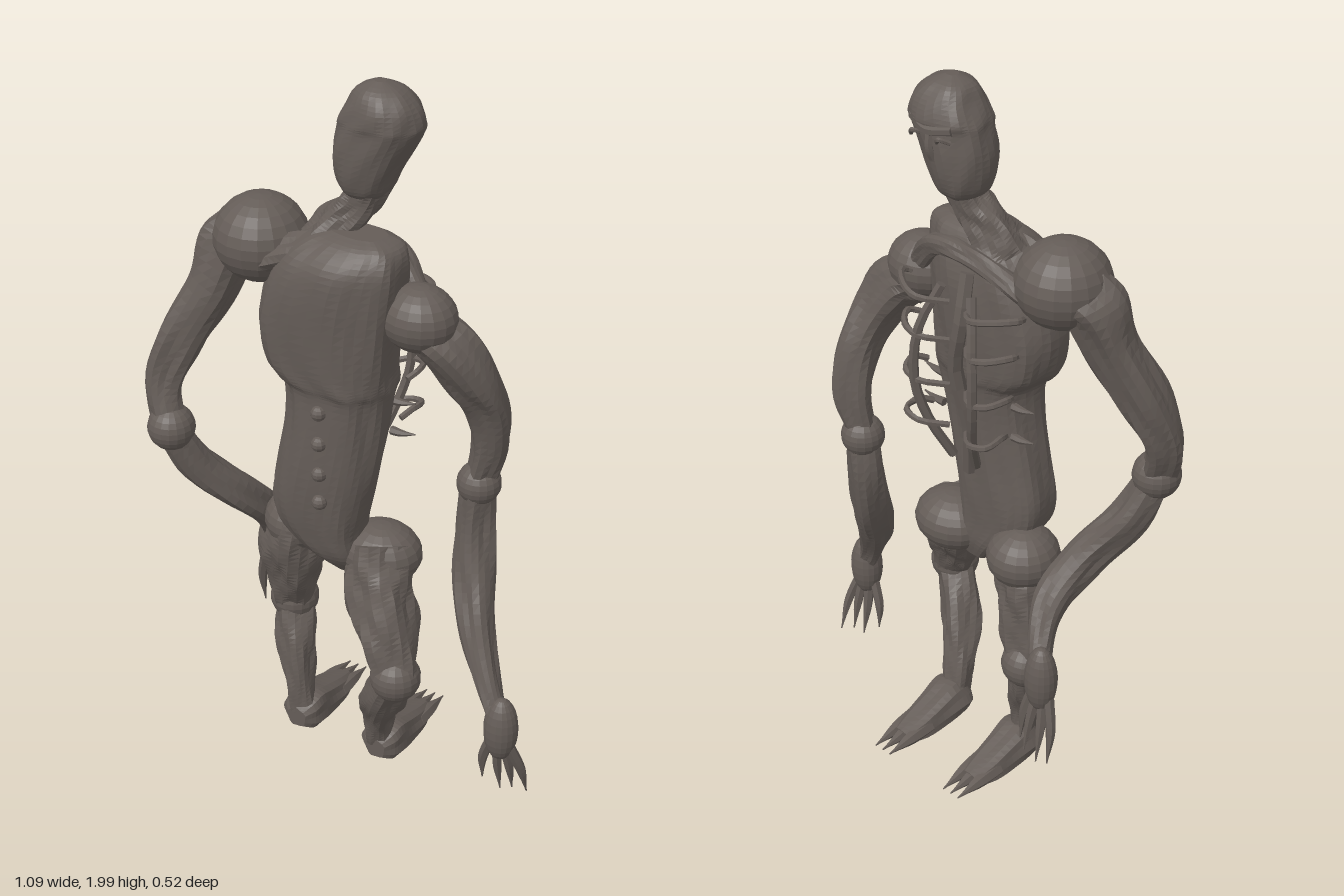
import * as THREE from 'three';

const skin = new THREE.MeshStandardMaterial({ color: 0x645c57, flatShading: true });
skin.name = 'dark grey flesh';
const V = (p) => new THREE.Vector3(p[0], p[1], p[2]);

// Closed skin over a list of rings of points
function skinRings(rings) {
  const n = rings[0].length, pos = [], idx = [];
  rings.forEach((r) => r.forEach((p) => pos.push(p.x, p.y, p.z)));
  for (let i = 0; i < rings.length - 1; i++) {
    for (let j = 0; j < n; j++) {
      const a = i * n + j, b = i * n + (j + 1) % n;
      idx.push(a, b, b + n, a, b + n, a + n);
    }
  }
  [rings[0], rings[rings.length - 1]].forEach((r, end) => {
    const c = new THREE.Vector3();
    r.forEach((p) => c.addScaledVector(p, 1 / n));
    const k = pos.length / 3, base = end ? (rings.length - 1) * n : 0;
    pos.push(c.x, c.y, c.z);
    for (let j = 0; j < n; j++) {
      const a = base + j, b = base + (j + 1) % n;
      if (end) idx.push(a, b, k); else idx.push(b, a, k);
    }
  });
  const g = new THREE.BufferGeometry();
  g.setAttribute('position', new THREE.Float32BufferAttribute(pos, 3));
  g.setIndex(idx);
  g.computeVertexNormals();
  return g;
}

// Smooth sampling of one column of a section table
function column(rows, k) {
  const c = new THREE.SplineCurve(rows.map((s, i) => new THREE.Vector2(i, s[k])));
  return (t) => c.getPoint(t).y;
}

// Sections [level, cx, c2, rx, r2] stacked along y, or along z for feet
function loft(rows, axis, steps, sides, square, bump) {
  const f = [0, 1, 2, 3, 4].map((k) => column(rows, k));
  const rings = [];
  for (let i = 0; i <= steps; i++) {
    const t = i / steps, [l, cx, c2, rx, r2] = f.map((q) => q(t));
    const ring = [];
    for (let j = 0; j < sides; j++) {
      const a = j / sides * Math.PI * 2, m = bump(a, t);
      const pw = (v) => Math.sign(v) * Math.abs(v) ** square * m;
      if (axis === 'y') ring.push(new THREE.Vector3(cx + rx * pw(Math.sin(a)), l, c2 + r2 * pw(Math.cos(a))));
      else ring.push(new THREE.Vector3(cx + rx * pw(Math.cos(a)), c2 + r2 * pw(Math.sin(a)), l));
    }
    rings.push(ring);
  }
  return skinRings(rings);
}

// Sinewy tube through [x, y, z, radius] points with twisted muscle ridges
function sinew(pts, ridge = 0.1, steps = 26, sides = 18) {
  const curve = new THREE.CatmullRomCurve3(pts.map(V));
  const rad = column(pts, 3), fr = curve.computeFrenetFrames(steps), rings = [];
  for (let i = 0; i <= steps; i++) {
    const t = i / steps, c = curve.getPoint(t), ring = [];
    for (let j = 0; j < sides; j++) {
      const a = j / sides * Math.PI * 2;
      const m = 1 + ridge * (Math.cos(4 * a + 5 * t) + 0.6 * Math.sin(3 * a - 9 * t) + 0.3 * Math.sin(6 * a + 21 * t));
      ring.push(c.clone()
        .addScaledVector(fr.normals[i], Math.cos(a) * rad(t) * m)
        .addScaledVector(fr.binormals[i], Math.sin(a) * rad(t) * m));
    }
    rings.push(ring);
  }
  return skinRings(rings);
}

export function createModel() {
  const model = new THREE.Group();
  const add = (name, geo) => {
    const m = new THREE.Mesh(geo, skin);
    m.name = name;
    model.add(m);
    return m;
  };
  const ball = (name, p, r, seg = 18) => {
    const m = add(name, new THREE.SphereGeometry(1, seg, Math.round(seg * 0.7)));
    m.position.set(...p);
    m.scale.set(...(Array.isArray(r) ? r : [r, r, r]));
    return m;
  };
  const wire = (name, pts, r = 0.008) => add(name, sinew(pts.map((p) => [...p, p[3] ?? r]), 0, 12, 6));

  // Torso, from pelvis to collar, with a ledge under the chest
  add('torso', loft([
    [0.63, -0.01, 0.03, 0.045, 0.04], [0.69, -0.035, 0.045, 0.085, 0.075], [0.76, -0.068, 0.055, 0.118, 0.088],
    [0.84, -0.07, 0.06, 0.135, 0.095], [0.95, -0.048, 0.063, 0.138, 0.097], [1.08, -0.025, 0.06, 0.137, 0.097],
    [1.18, -0.018, 0.055, 0.142, 0.102], [1.215, -0.03, 0.055, 0.16, 0.112], [1.26, -0.047, 0.055, 0.178, 0.117],
    [1.36, -0.05, 0.055, 0.19, 0.122], [1.47, -0.03, 0.055, 0.182, 0.122], [1.55, -0.005, 0.055, 0.163, 0.108],
    [1.60, 0.02, 0.045, 0.125, 0.078], [1.62, 0.03, 0.04, 0.07, 0.045],
  ], 'y', 56, 36, 0.8, (a, t) => 1 + 0.022 * Math.cos(7 * a + 6 * t) + 0.02 * Math.sin(4 * a - 13 * t) + 0.012 * Math.sin(11 * a + 31 * t)));
  // Shoulder straps and collar bone
  add('collarStrap', sinew([[-0.22, 1.5, 0.09, 0.05], [-0.08, 1.555, 0.08, 0.045], [0.06, 1.585, 0.06, 0.035], [0.13, 1.575, 0.05, 0.022]]));
  add('collarBone', sinew([[-0.22, 1.5, -0.03, 0.03], [-0.05, 1.56, -0.05, 0.025], [0.08, 1.55, -0.04, 0.03], [0.17, 1.46, -0.01, 0.03]]));
  for (const y of [1.15, 1.06, 0.97, 0.885]) ball('vertebra', [-0.02, y, 0.156], 0.021, 10);

  // Neck and head
  add('neck', sinew([[-0.08, 1.55, 0.03, 0.07], [-0.04, 1.62, 0.015, 0.054], [0.01, 1.68, 0, 0.046], [0.04, 1.76, -0.01, 0.05]], 0.12));
  add('head', loft([
    [1.69, 0.02, -0.012, 0.02, 0.03], [1.715, 0.018, -0.012, 0.06, 0.064], [1.76, 0.02, -0.012, 0.08, 0.08],
    [1.82, 0.033, -0.012, 0.098, 0.086], [1.88, 0.055, -0.014, 0.108, 0.086], [1.905, 0.06, -0.015, 0.107, 0.088],
    [1.945, 0.066, -0.012, 0.088, 0.078], [1.98, 0.06, -0.01, 0.06, 0.054], [2.0, 0.056, -0.01, 0.015, 0.015],
  ], 'y', 30, 28, 0.9, (a, t) => 1 + 0.025 * Math.cos(5 * a + 7 * t) + 0.015 * Math.sin(8 * a - 17 * t)));
  wire('brow', [[-0.01, 1.895, -0.082], [0.055, 1.885, -0.1], [0.12, 1.9, -0.08]], 0.013);
  wire('nose', [[0.05, 1.88, -0.095], [0.045, 1.84, -0.102], [0.04, 1.81, -0.092]], 0.011);
  for (const x of [0.01, 0.095]) wire('eyeHook', [[x - 0.02, 1.865, -0.088], [x, 1.875, -0.108], [x + 0.02, 1.855, -0.092]], 0.006);

  // Shoulders
  ball('rightShoulder', [-0.26, 1.535, 0.042], [0.123, 0.115, 0.124]);
  ball('leftShoulder', [0.195, 1.425, 0.03], [0.1, 0.087, 0.09]);

  // Arms: upper arm, elbow, forearm, hand, fingers
  add('rightUpperArm', sinew([[-0.27, 1.53, 0.03, 0.07], [-0.335, 1.515, 0.05, 0.078], [-0.385, 1.38, 0.09, 0.066],
    [-0.455, 1.23, 0.14, 0.062], [-0.488, 1.11, 0.175, 0.05], [-0.455, 0.99, 0.195, 0.045]]));
  ball('rightElbow', [-0.455, 0.995, 0.195], 0.064);
  add('rightForearm', sinew([[-0.455, 0.99, 0.195, 0.045], [-0.415, 0.87, 0.145, 0.05], [-0.345, 0.76, 0.06, 0.052],
    [-0.315, 0.65, -0.04, 0.045], [-0.335, 0.56, -0.1, 0.034], [-0.36, 0.5, -0.13, 0.03]]));
  ball('rightHand', [-0.365, 0.475, -0.132], [0.046, 0.1, 0.042]);
  add('leftUpperArm', sinew([[0.18, 1.4, 0.02, 0.06], [0.255, 1.36, 0.01, 0.07], [0.312, 1.27, -0.025, 0.062],
    [0.335, 1.17, -0.075, 0.056], [0.332, 1.04, -0.105, 0.05], [0.305, 0.92, -0.1, 0.04]]));
  ball('leftElbow', [0.305, 0.917, -0.1], 0.059);
  add('leftForearm', sinew([[0.305, 0.92, -0.1, 0.045], [0.3, 0.8, -0.095, 0.05], [0.322, 0.66, -0.06, 0.052],
    [0.37, 0.53, 0.0, 0.046], [0.44, 0.4, 0.055, 0.032], [0.48, 0.33, 0.072, 0.03]]));
  ball('leftHand', [0.487, 0.305, 0.073], [0.047, 0.097, 0.045]);
  // Each finger: knuckle offset, tip x, tip y, tip z
  const fingers = (hand, tips) => tips.forEach(([dx, x, y, z]) => {
    const [hx, hy, hz] = hand;
    wire('finger', [[hx + dx, hy - 0.05, hz, 0.015], [(hx + dx + x) / 2 + dx * 0.35, (hy - 0.05 + y) / 2, (hz + z) / 2, 0.013],
      [x, y, z, 0.002]]);
  });
  fingers([-0.365, 0.475, -0.132], [[-0.028, -0.42, 0.24, -0.165], [-0.01, -0.39, 0.235, -0.175], [0.01, -0.348, 0.25, -0.175], [0.026, -0.322, 0.27, -0.16]]);
  fingers([0.487, 0.305, 0.073], [[-0.03, 0.43, 0.11, 0.06], [-0.01, 0.475, 0.075, 0.04], [0.012, 0.505, 0.085, 0.03], [0.028, 0.54, 0.075, 0.012]]);

  // Legs: hip, thigh, knee, calf
  ball('rightHip', [-0.178, 0.705, 0.005], [0.098, 0.085, 0.1]);
  ball('leftHip', [0.085, 0.695, 0.02], [0.112, 0.083, 0.1]);
  add('rightThigh', sinew([[-0.17, 0.73, 0.02, 0.075], [-0.19, 0.62, 0.015, 0.085], [-0.215, 0.51, -0.01, 0.072], [-0.23, 0.4, -0.035, 0.055]]));
  ball('rightKnee', [-0.232, 0.402, -0.038], 0.068);
  add('rightCalf', sinew([[-0.23, 0.4, -0.035, 0.05], [-0.205, 0.29, 0.0, 0.054], [-0.178, 0.18, 0.025, 0.04], [-0.165, 0.08, 0.03, 0.036]]));
  add('leftThigh', sinew([[0.09, 0.73, 0.04, 0.075], [0.115, 0.63, 0.08, 0.085], [0.17, 0.53, 0.125, 0.078], [0.215, 0.42, 0.155, 0.058]]));
  ball('leftKnee', [0.213, 0.42, 0.157], 0.068);
  add('leftCalf', sinew([[0.21, 0.42, 0.155, 0.052], [0.145, 0.29, 0.11, 0.056], [0.1, 0.18, 0.055, 0.042], [0.088, 0.08, 0.03, 0.036]]));

  // Feet with a high instep and three clawed toes
  for (const x of [-0.165, 0.095]) {
    add('foot', loft([
      [-0.19, x, 0.047, 0.035, 0.02], [-0.13, x, 0.05, 0.05, 0.036], [-0.06, x, 0.06, 0.055, 0.05],
      [0.0, x, 0.072, 0.06, 0.06], [0.04, x, 0.07, 0.055, 0.052], [0.065, x, 0.065, 0.03, 0.03],
    ], 'z', 16, 16, 0.9, (a, t) => 1 + 0.08 * Math.cos(5 * a + 4 * t)));
    for (const d of [-0.027, 0, 0.027]) {
      wire('toeClaw', [[x + d * 1.2, 0.055, -0.11, 0.022], [x + d * 1.1, 0.05, -0.18, 0.019], [x + d, 0.042, -0.263, 0.002]]);
    }
  }

  // Loose rib cage: breast cords with hooked ribs on both sides
  const cx = -0.02;
  for (const s of [-1, 1]) {
    wire('breastCord', [[cx + s * 0.05, 1.47, -0.08], [cx + s * 0.09, 1.35, -0.122], [cx + s * 0.1, 1.2, -0.13],
      [cx + s * 0.075, 1.08, -0.105], [cx + s * 0.04, 0.96, -0.05]], 0.013);
    [1.44, 1.33, 1.2, 1.08].forEach((y, i) => {
      const w = 0.195 - i * 0.018;
      wire('rib', [[cx + s * 0.03, y - 0.015, -0.075], [cx + s * 0.09, y, -0.13], [cx + s * 0.14, y + 0.01, -0.12],
        [cx + s * w, y + 0.015, -0.07], [cx + s * (w - 0.015), y, -0.035]], 0.009);
    });
    // Short thorns on the flanks
    for (const y of [1.15, 1.06]) {
      wire('thorn', [[cx + s * 0.12, y, 0.0, 0.012], [cx + s * 0.15, y, 0.0, 0.009], [cx + s * 0.19, y + 0.008, 0.0, 0.002]]);
    }
  }
  wire('sternumCord', [[-0.04, 1.52, -0.06], [-0.05, 1.4, -0.095], [-0.02, 1.25, -0.085], [-0.04, 1.08, -0.055], [-0.02, 0.92, -0.03]], 0.02);
  return model;
}
